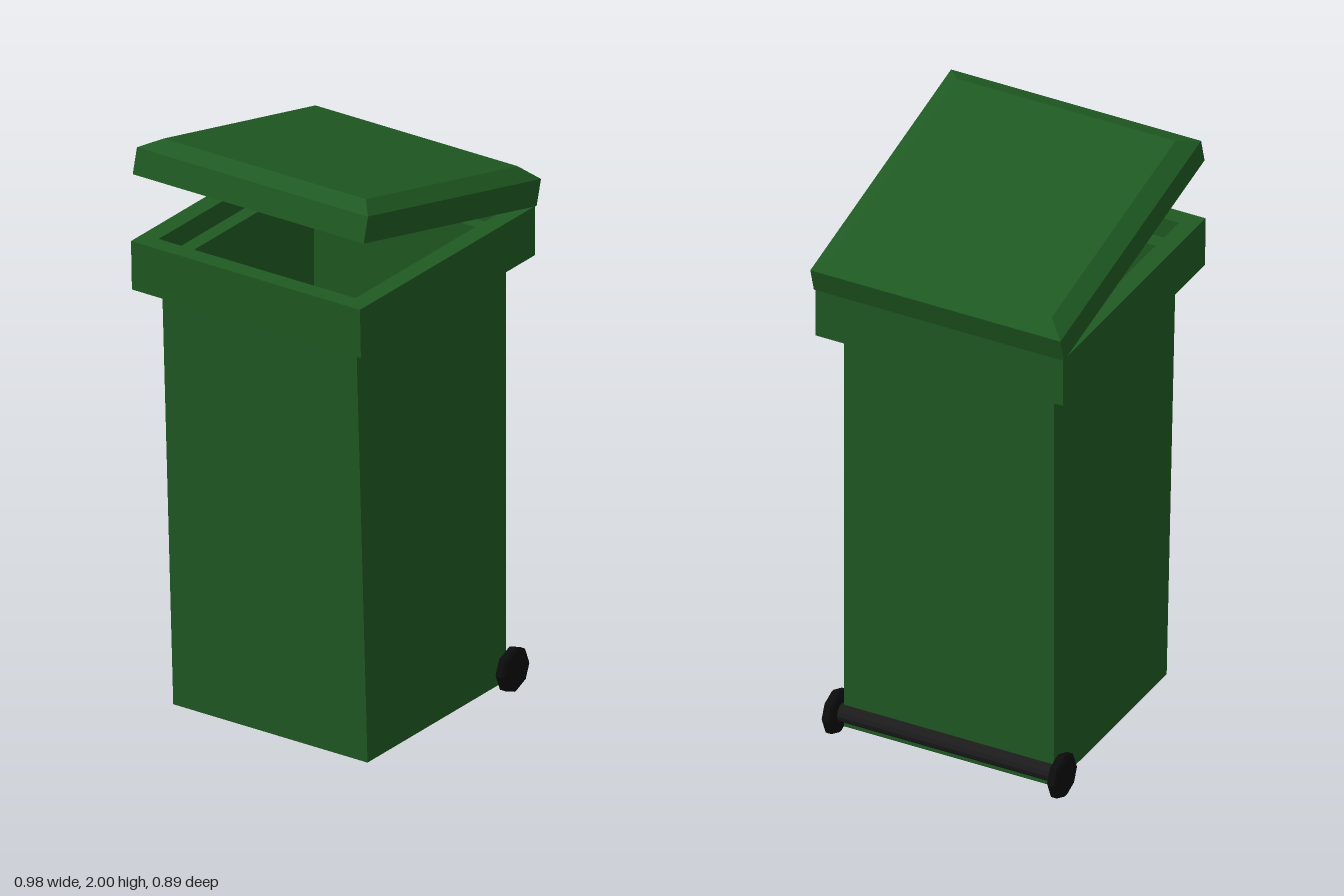
import * as THREE from 'three';

const green = new THREE.MeshStandardMaterial({ color: 0x1f5a22, flatShading: true });
const axleBlack = new THREE.MeshStandardMaterial({ color: 0x1c1c1c, flatShading: true });
const wheelBlack = new THREE.MeshStandardMaterial({ color: 0x0c0c0c, flatShading: true });

// Joins rectangular rings [xLeft, xRight, halfDepth, yLeft, yRight] and caps both ends
function loft(rings) {
  const pos = [], index = [];
  for (const [x0, x1, z, yl, yr] of rings) {
    pos.push(x0, yl, z, x1, yr, z, x1, yr, -z, x0, yl, -z);
  }
  for (let i = 0; i < rings.length - 1; i++) {
    for (let j = 0; j < 4; j++) {
      const a = i * 4 + j, b = i * 4 + (j + 1) % 4;
      index.push(a, b, b + 4, a, b + 4, a + 4);
    }
  }
  const t = (rings.length - 1) * 4;
  index.push(0, 2, 1, 0, 3, 2, t, t + 1, t + 2, t, t + 2, t + 3);
  const g = new THREE.BufferGeometry();
  g.setAttribute('position', new THREE.Float32BufferAttribute(pos, 3));
  g.setIndex(index);
  const flat = g.toNonIndexed();
  flat.computeVertexNormals();
  return flat;
}

export function createModel() {
  const root = new THREE.Group();
  root.name = 'wheeledBin';
  const add = (name, geometry, material) => {
    const m = new THREE.Mesh(geometry, material);
    m.name = name;
    root.add(m);
    return m;
  };

  // Tapered container: outside, thick rim, inner ledge, hollow inside
  add('container', loft([
    [-0.355, 0.395, 0.375, 0.03, 0.03],
    [-0.415, 0.395, 0.375, 1.5, 1.5],
    [-0.485, 0.46, 0.442, 1.5, 1.5],
    [-0.49, 0.46, 0.442, 1.67, 1.67],
    [-0.427, 0.398, 0.38, 1.67, 1.67],
    [-0.425, 0.398, 0.38, 1.6, 1.6],
    [-0.37, 0.345, 0.33, 1.6, 1.6],
    [-0.31, 0.345, 0.33, 0.08, 0.08],
  ]), green);

  // Half-open lid with a bevelled top, raised at the left
  add('lid', loft([
    [-0.475, 0.462, 0.446, 1.895, 1.67],
    [-0.452, 0.486, 0.446, 1.98, 1.755],
    [-0.385, 0.437, 0.39, 2.0, 1.803],
  ]), green);

  // Axle along the lower edge
  const axle = add('axle', new THREE.CylinderGeometry(0.031, 0.031, 0.78, 12), axleBlack);
  axle.rotation.x = Math.PI / 2;
  axle.position.set(0.393, 0.08, 0);

  // Eight-sided wheels with slightly bevelled edges
  const profile = [[0, -0.018], [0.066, -0.018], [0.076, -0.01], [0.076, 0.01], [0.066, 0.018], [0, 0.018]]
    .map(([r, y]) => new THREE.Vector2(r, y));
  for (const side of [1, -1]) {
    const wheel = add(side > 0 ? 'frontWheel' : 'backWheel', new THREE.LatheGeometry(profile, 8), wheelBlack);
    wheel.rotation.x = Math.PI / 2;
    wheel.position.set(0.393, 0.078, side * 0.402);
  }
  return root;
}
